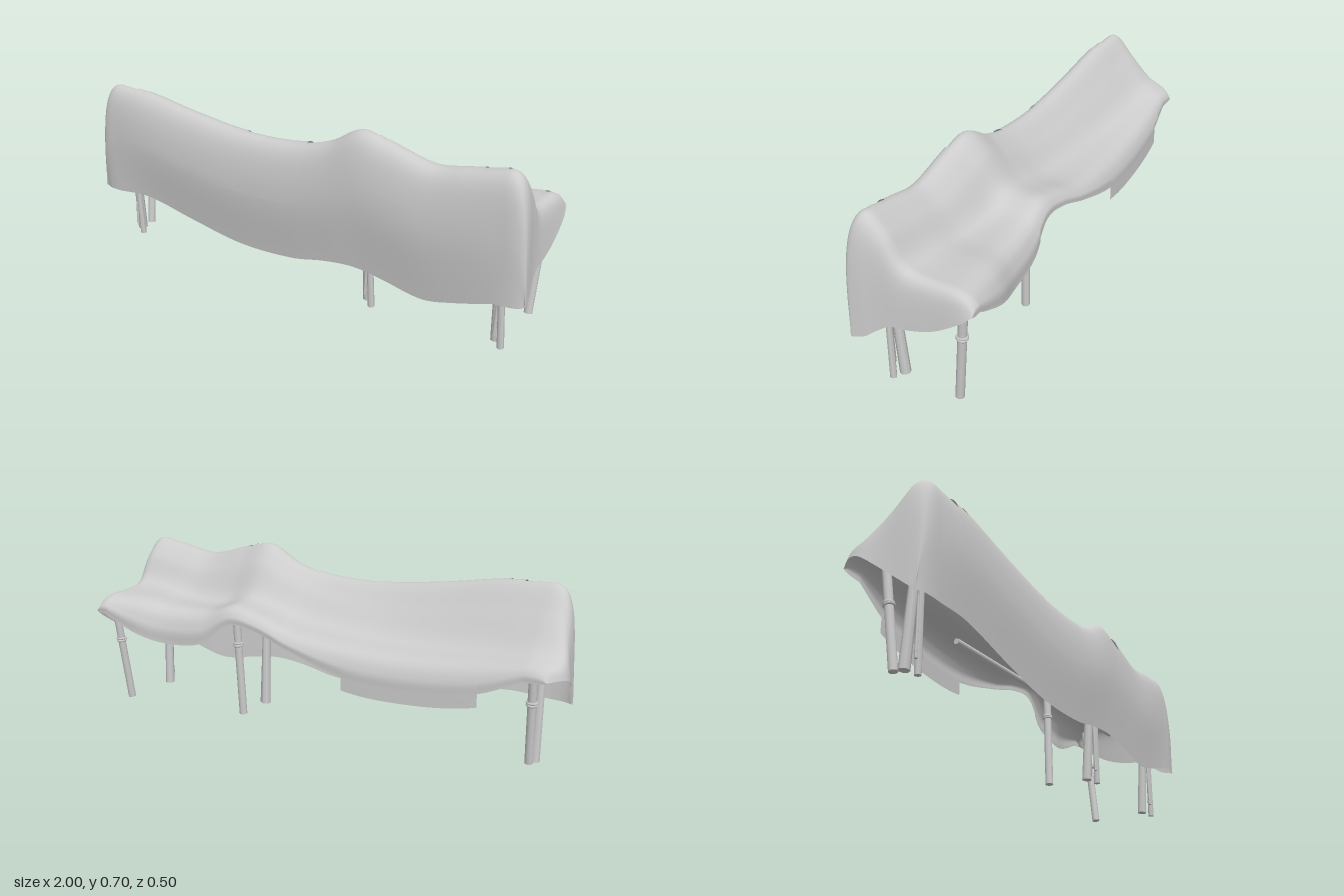
import * as THREE from 'three';

// Smooth interpolation of table rows; the first column is the key, ascending
function sample(rows, x) {
  let i = 0;
  while (i < rows.length - 2 && x > rows[i + 1][0]) i++;
  const a = rows[i], b = rows[i + 1], h = b[0] - a[0];
  const p = rows[Math.max(i - 1, 0)], q = rows[Math.min(i + 2, rows.length - 1)];
  const s = THREE.MathUtils.clamp((x - a[0]) / h, 0, 1), s2 = s * s, s3 = s2 * s;
  return a.slice(1).map((va, k) => {
    const vb = b[k + 1];
    const ma = (vb - p[k + 1]) / (b[0] - p[0]) * h;
    const mb = (q[k + 1] - va) / (q[0] - a[0]) * h;
    return (2 * s3 - 3 * s2 + 1) * va + (s3 - 2 * s2 + s) * ma + (3 * s2 - 2 * s3) * vb + (s3 - s2) * mb;
  });
}

// x, front hem y, ridge y, back shelf y, back z, back hem y
const stations = [
  [-0.87, 0.225, 0.683, 0.445, -0.105, 0.39],
  [-0.7, 0.232, 0.668, 0.415, -0.125, 0.32],
  [-0.45, 0.185, 0.626, 0.395, -0.145, 0.29],
  [-0.2, 0.145, 0.596, 0.4, -0.16, 0.3],
  [0.05, 0.15, 0.602, 0.43, -0.165, 0.37],
  [0.2, 0.178, 0.64, 0.475, -0.16, 0.42],
  [0.33, 0.19, 0.705, 0.5, -0.165, 0.43],
  [0.45, 0.175, 0.675, 0.46, -0.18, 0.34],
  [0.62, 0.145, 0.63, 0.455, -0.2, 0.32],
  [0.75, 0.17, 0.645, 0.475, -0.23, 0.35],
  [0.9, 0.215, 0.675, 0.488, -0.247, 0.42],
];
const X0 = -0.87, X1 = 0.9;

// End hems: z, x, y
const leftHem = [[-0.105, -0.95, 0.4], [-0.05, -0.99, 0.4], [0, -1, 0.385], [0.08, -0.985, 0.33], [0.22, -0.965, 0.225]];
const rightHem = [[-0.25, 0.945, 0.43], [-0.2, 0.955, 0.39], [-0.1, 0.96, 0.33], [0, 0.965, 0.302],
  [0.07, 0.97, 0.295], [0.13, 0.98, 0.262], [0.17, 0.99, 0.236], [0.22, 1, 0.225]];

// Cross-section from front hem over the ridge to back hem
function section(x) {
  const [hem, ridge, rim, bz, bh] = sample(stations, x);
  const end = Math.pow(Math.abs(x) / 0.9, 6), slope = 1 - THREE.MathUtils.smoothstep(x, -0.2, 0.3);
  const up = (f) => hem + f * (ridge - hem), back = (f) => rim + f * (ridge - rim);
  return new THREE.CatmullRomCurve3([
    [0.212 + 0.01 * end, hem], [0.238 - 0.012 * end, up(0.52)], [0.215 - 0.006 * end, up(0.89)], [0.16, ridge],
    [0.085, back(0.68 - 0.06 * slope)], [0, back(0.09 + 0.08 * slope)],
    [bz * 0.74, rim], [bz * 0.98, rim * 0.5 + bh * 0.5], [bz, bh],
  ].map(([z, y]) => new THREE.Vector3(x, y, z)), false, 'catmullrom', 0.5);
}

// Cloth point; beyond X0 and X1 the sheet rounds over and hangs as an end panel
function cloth(u, t) {
  const x = THREE.MathUtils.clamp(u, X0, X1);
  const p = section(x).getPoint(Math.min(t, 1));
  if (t > 1) p.y -= (t - 1) * 0.4;
  if (u === x) return p;
  const [hx, hy] = sample(u < 0 ? leftHem : rightHem, p.z);
  const edge = hx - Math.sign(u) * 0.012, z = p.z * (p.z > 0 ? 0.91 : 1);
  return new THREE.CubicBezierCurve3(p, new THREE.Vector3(edge, p.y, p.z),
    new THREE.Vector3(edge, p.y * 0.7 + hy * 0.3, z), new THREE.Vector3(hx, hy, z)).getPoint(Math.abs(u - x));
}

function sheet(us, t0, t1, nt, lift) {
  const pos = [], index = [], e = 0.004, w = nt + 1;
  us.forEach((u, i) => {
    for (let j = 0; j <= nt; j++) {
      const t = t0 + (t1 - t0) * j / nt, p = cloth(u, t);
      if (lift) {
        const tt = Math.min(t, 1 - e);
        const dx = cloth(u + e, tt).sub(cloth(u - e, tt));
        const dt = cloth(u, tt + e).sub(cloth(u, tt - e));
        p.addScaledVector(dx.cross(dt).normalize(), lift);
      }
      pos.push(p.x, p.y, p.z);
      if (i && j) {
        const d = i * w + j, b = d - w;
        index.push(b - 1, d - 1, b, d - 1, d, b);
      }
    }
  });
  const g = new THREE.BufferGeometry();
  g.setAttribute('position', new THREE.Float32BufferAttribute(pos, 3));
  g.setIndex(index);
  g.computeVertexNormals();
  return g;
}

const range = (a, b, n) => Array.from({ length: n + 1 }, (_, i) => a + (b - a) * i / n);

export function createModel() {
  const group = new THREE.Group();
  const grey = new THREE.MeshStandardMaterial({ name: 'lightGrey', color: 0xcccccc, side: THREE.DoubleSide });
  const add = (name, geometry) => {
    const m = new THREE.Mesh(geometry, grey);
    m.name = name;
    group.add(m);
    return m;
  };

  // Main draped sheet with both end panels
  const us = [...range(X0 - 1, X0, 20), ...range(X0, X1, 90).slice(1), ...range(X1, X1 + 1, 20).slice(1)];
  add('drapedCloth', sheet(us, 0, 1, 64, 0));

  // Overlapping cloths: x from, x to, t from, t to, lift
  [
    ['longOverlay', -0.77, 0.1, 0.125, 0.9, 0.006],
    ['backOverlay', -0.715, -0.19, 0.14, 1.12, 0.009],
    ['rightBackOverlay', 0.4, 0.89, 0.35, 1, 0.004],
    ['rightFrontOverlay', 0.43, 0.81, 0.17, 0.8, 0.007],
  ].forEach(([name, a, b, t0, t1, lift]) => add(name, sheet(range(a, b, 30), t0, t1, 48, lift)));

  // Round pole between two points
  const up = new THREE.Vector3(0, 1, 0);
  function pole(name, from, to, r0, r1, sides) {
    const a = new THREE.Vector3(...from), b = new THREE.Vector3(...to), d = b.clone().sub(a);
    const m = add(name, new THREE.CylinderGeometry(r1, r0, d.length(), sides));
    m.position.copy(a).add(b).multiplyScalar(0.5);
    m.quaternion.setFromUnitVectors(up, d.normalize());
    return m;
  }

  // Front poles: a pair of splayed sticks at each place
  [[-0.855, 0.64], [0.345, 0.66], [0.875, 0.63]].forEach(([x, top]) => {
    pole('frontPole', [x - 0.012, 0.015, 0.103], [x - 0.006, top, 0.14], 0.02, 0.014, 8);
    pole('frontStick', [x + 0.02, 0.004, 0.132], [x - 0.004, top - 0.04, 0.145], 0.013, 0.01, 6);
    pole('frontSplint', [x - 0.004, 0.05, 0.14], [x + 0.008, 0.4, 0.13], 0.006, 0.006, 5);
  });

  // Back poles, each with a rope tie
  [
    [[-0.86, 0.025, 0.055], [-0.87, 0.45, 0.002], 0.265],
    [[0.33, 0.025, -0.07], [0.345, 0.49, -0.085], 0.325],
    [[0.88, 0.02, -0.137], [0.9, 0.47, -0.19], 0.285],
  ].forEach(([a, b, tieY]) => {
    const m = pole('backPole', a, b, 0.016, 0.016, 12);
    const f = (tieY - a[1]) / (b[1] - a[1]);
    [0, 0.018].forEach((rise, i) => {
      const tie = add('ropeTie', new THREE.TorusGeometry(0.017, 0.005, 6, 16));
      tie.position.set(...a).lerp(new THREE.Vector3(...b), f + rise);
      tie.quaternion.copy(m.quaternion);
      tie.rotateX(Math.PI / 2 + (i ? 0.1 : -0.05));
    });
  });

  // Long rails under the cloth
  pole('rail', [0.9, 0.46, 0.07], [-0.8, 0.4, 0.07], 0.012, 0.012, 8);
  pole('rail', [0.9, 0.44, -0.06], [-0.4, 0.36, -0.04], 0.012, 0.012, 8);

  return group;
}
